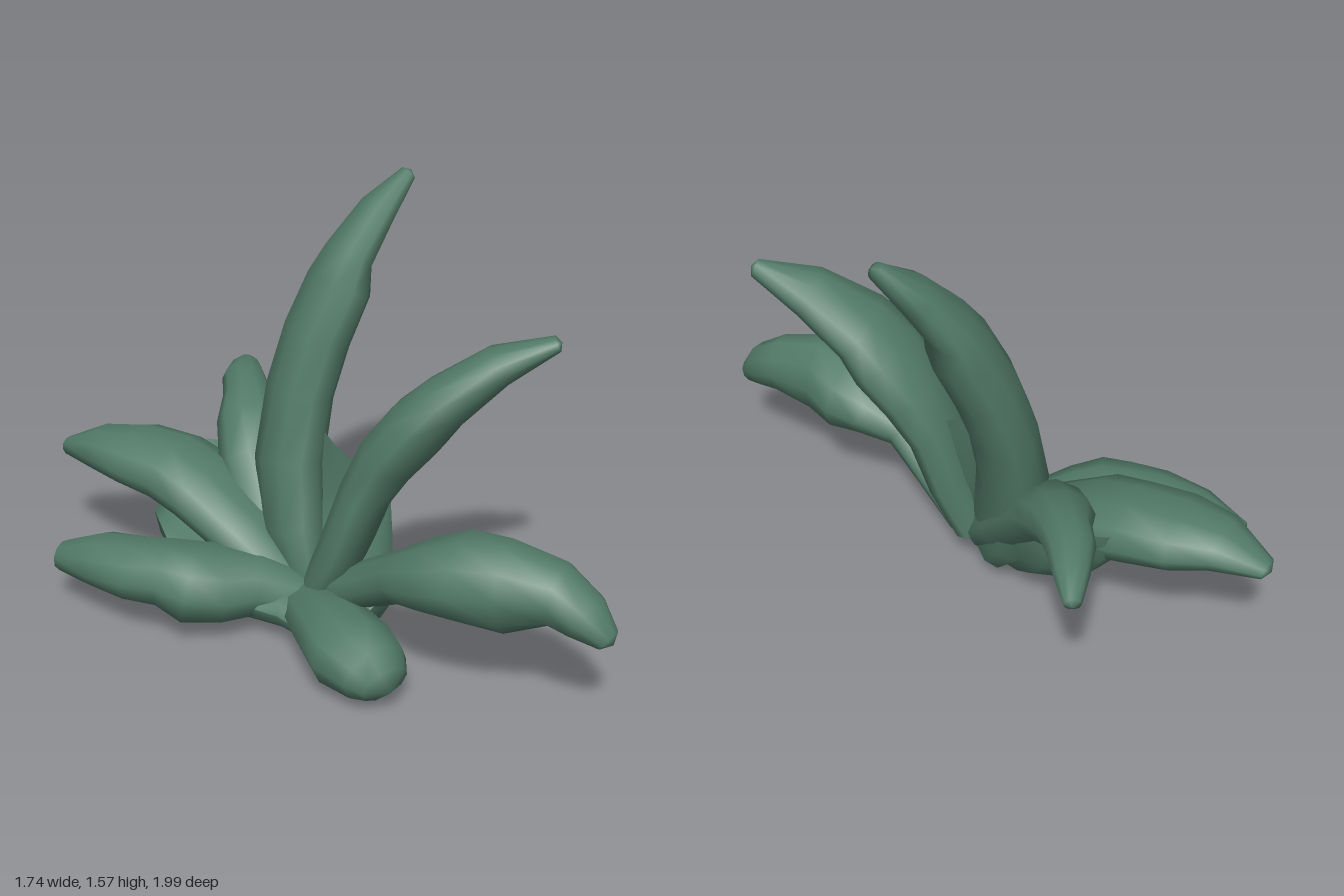
import * as THREE from 'three';

const SIDES = 10;

// Fleshy leaf: elliptical rings [x, y, z, halfWidth, halfThickness] along a spine
function leafGeometry(spine, sideDir) {
  const pts = spine.map(([x, y, z]) => new THREE.Vector3(x, y, z));
  const pos = [], idx = [];
  pts.forEach((p, i) => {
    const t = pts[Math.min(i + 1, pts.length - 1)].clone().sub(pts[Math.max(i - 1, 0)]).normalize();
    const side = new THREE.Vector3(...sideDir);
    side.addScaledVector(t, -side.dot(t)).normalize();
    const nrm = t.clone().cross(side);
    const [, , , w, h] = spine[i];
    for (let j = 0; j < SIDES; j++) {
      const a = (j / SIDES) * Math.PI * 2;
      const v = p.clone().addScaledVector(side, Math.cos(a) * w).addScaledVector(nrm, Math.sin(a) * h);
      pos.push(v.x, v.y, v.z);
    }
  });
  for (let i = 0; i < pts.length - 1; i++) {
    for (let j = 0; j < SIDES; j++) {
      const k = (j + 1) % SIDES;
      const a = i * SIDES + j, b = i * SIDES + k, c = b + SIDES, d = a + SIDES;
      idx.push(a, b, c, a, c, d);
    }
  }
  // blunt tip
  const n = pts.length, last = (n - 1) * SIDES;
  const dir = pts[n - 1].clone().sub(pts[n - 2]).normalize();
  const tip = pts[n - 1].clone().addScaledVector(dir, spine[n - 1][4] * 0.5);
  pos.push(tip.x, tip.y, tip.z);
  for (let j = 0; j < SIDES; j++) idx.push(last + j, last + ((j + 1) % SIDES), n * SIDES);
  return finish(pos, idx);
}

// Webbed cup joining the leaf bases: rings spread from a low point to the rim
function cupGeometry(bottom, rim, rings = 6) {
  const pos = [...bottom], idx = [], n = rim.length;
  for (let r = 1; r <= rings; r++) {
    const t = r / rings, spread = Math.sin(t * Math.PI / 2), rise = Math.pow(t, 1.5);
    for (const p of rim) {
      pos.push(
        bottom[0] + (p[0] - bottom[0]) * spread,
        bottom[1] + (p[1] - bottom[1]) * rise,
        bottom[2] + (p[2] - bottom[2]) * spread);
    }
  }
  for (let j = 0; j < n; j++) {
    const k = (j + 1) % n;
    idx.push(0, 1 + k, 1 + j);
    for (let r = 0; r < rings - 1; r++) {
      const a = 1 + r * n + j, b = 1 + r * n + k;
      idx.push(a, b, b + n, a, b + n, a + n);
    }
  }
  return finish(pos, idx);
}

function finish(pos, idx) {
  const g = new THREE.BufferGeometry();
  g.setAttribute('position', new THREE.Float32BufferAttribute(pos, 3));
  g.setIndex(idx);
  g.computeVertexNormals();
  return g;
}

const LEAVES = {
  tallLeaf: { side: [0, 0, 1], spine: [
    [0.04, 0.14, 0, 0.15, 0.08], [0.01, 0.3, -0.1, 0.2, 0.12], [0.01, 0.55, -0.18, 0.18, 0.125],
    [0.06, 0.8, -0.23, 0.185, 0.12], [0.13, 1.0, -0.26, 0.175, 0.12], [0.215, 1.18, -0.28, 0.175, 0.115],
    [0.255, 1.28, -0.3, 0.15, 0.085], [0.37, 1.43, -0.34, 0.1, 0.065], [0.49, 1.55, -0.37, 0.03, 0.03]] },
  upperLeftLeaf: { side: [-0.45, 0.3, 1], spine: [
    [0.08, 0.14, 0.08, 0.14, 0.08], [0.15, 0.35, 0.14, 0.19, 0.09], [0.22, 0.56, 0.16, 0.175, 0.095],
    [0.29, 0.7, 0.19, 0.18, 0.11], [0.38, 0.83, 0.24, 0.19, 0.115], [0.46, 0.93, 0.28, 0.16, 0.1],
    [0.63, 1.07, 0.33, 0.11, 0.075], [0.81, 1.155, 0.39, 0.035, 0.03]] },
  frontLeftLeaf: { side: [0.75, 0, -0.65], spine: [
    [0.1, 0.14, 0.1, 0.1, 0.08], [0.18, 0.25, 0.28, 0.12, 0.08], [0.27, 0.35, 0.43, 0.11, 0.09],
    [0.36, 0.41, 0.54, 0.18, 0.12], [0.46, 0.435, 0.62, 0.19, 0.155], [0.56, 0.445, 0.73, 0.14, 0.165],
    [0.7, 0.45, 0.82, 0.115, 0.115], [0.77, 0.4, 0.9, 0.09, 0.09], [0.83, 0.34, 0.96, 0.045, 0.045]] },
  frontStubLeaf: { side: [1, 0, 0], spine: [
    [0.03, 0.11, 0.08, 0.12, 0.07], [0.03, 0.14, 0.3, 0.13, 0.1], [0.055, 0.145, 0.42, 0.15, 0.115],
    [0.08, 0.14, 0.55, 0.165, 0.125], [0.13, 0.125, 0.66, 0.13, 0.11], [0.15, 0.105, 0.71, 0.09, 0.075]] },
  rightLeaf: { side: [0.3, 0, 1], spine: [
    [0.02, 0.12, 0.08, 0.12, 0.08], [-0.15, 0.155, 0.02, 0.16, 0.12], [-0.3, 0.17, 0.02, 0.19, 0.14],
    [-0.4, 0.18, 0.01, 0.205, 0.145], [-0.47, 0.205, -0.03, 0.18, 0.12], [-0.58, 0.21, -0.08, 0.16, 0.11],
    [-0.7, 0.215, -0.17, 0.125, 0.09], [-0.83, 0.185, -0.28, 0.065, 0.05]] },
  backRightLeaf: { side: [0.7, 0, -0.7], spine: [
    [0, 0.14, 0.02, 0.14, 0.08], [-0.13, 0.28, -0.14, 0.19, 0.1], [-0.28, 0.4, -0.3, 0.2, 0.11],
    [-0.38, 0.44, -0.42, 0.19, 0.115], [-0.51, 0.46, -0.53, 0.185, 0.1], [-0.63, 0.46, -0.62, 0.13, 0.08],
    [-0.75, 0.42, -0.74, 0.045, 0.035]] },
  backLeaf: { side: [1, 0, 0], spine: [
    [0.02, 0.14, 0, 0.13, 0.08], [-0.03, 0.3, -0.17, 0.17, 0.1], [-0.08, 0.48, -0.34, 0.15, 0.11],
    [-0.08, 0.57, -0.5, 0.125, 0.1], [-0.065, 0.62, -0.62, 0.095, 0.075], [-0.055, 0.645, -0.74, 0.085, 0.065],
    [-0.025, 0.64, -0.87, 0.06, 0.045], [0, 0.62, -0.98, 0.03, 0.025]] },
};

// Cup rim, alternating between leaf undersides and the webs between leaves
const RIM = [
  [0.03, 0.08, 0.42], [0.18, 0.2, 0.38], [0.25, 0.29, 0.41], [0.27, 0.45, 0.33],
  [0.3, 0.54, 0.18], [0.14, 0.67, 0], [0.1, 0.7, -0.2], [0.04, 0.63, -0.36],
  [-0.06, 0.48, -0.46], [-0.24, 0.49, -0.54], [-0.38, 0.38, -0.4], [-0.49, 0.36, -0.23],
  [-0.4, 0.14, 0], [-0.12, 0.12, 0.22],
];

export function createModel() {
  const group = new THREE.Group();
  group.name = 'succulentPlant';
  const green = new THREE.MeshStandardMaterial({ color: 0x527a68, side: THREE.DoubleSide });
  green.name = 'leafGreen';

  const add = (name, geometry) => {
    const mesh = new THREE.Mesh(geometry, green);
    mesh.name = name;
    group.add(mesh);
  };
  for (const [name, { side, spine }] of Object.entries(LEAVES)) add(name, leafGeometry(spine, side));
  add('outerCup', cupGeometry([0.05, 0, 0.08], RIM));
  add('innerCup', cupGeometry([-0.02, 0.2, 0.06], RIM));
  return group;
}
